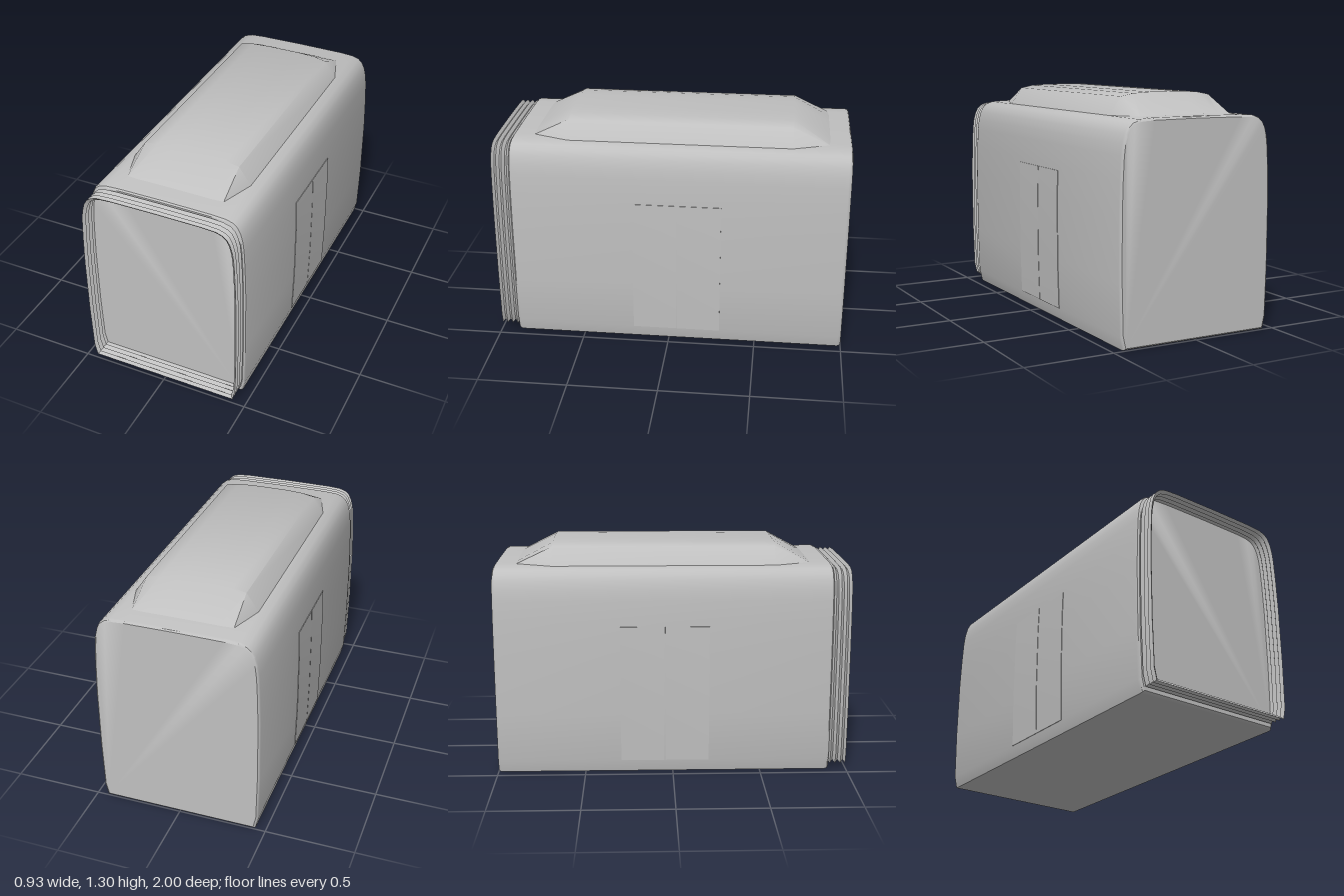
import * as THREE from 'three';
import { toCreasedNormals } from 'three/addons/utils/BufferGeometryUtils.js';

// Right half of the body cross-section, from the floor up to the roof
const HALF_W = 0.463, TOP = 1.185;
const HALF = [[0.44, 0], [0.456, 0.07], [0.463, 0.35], [0.463, 0.7], [0.458, 0.88], [0.452, 1.0],
  [0.445, 1.06], [0.432, 1.11], [0.415, 1.143], [0.39, 1.165], [0.35, 1.178], [0.27, 1.183]];
const mirrorX = (pts) => pts.map(([x, y]) => [-x, y]).reverse();
const SECTION = [...HALF, [0, TOP], ...mirrorX(HALF)];

// Body cross-section fitted to a half width and a height range
const ring = (z, halfW, y0, y1) =>
  SECTION.map(([x, y]) => [x * halfW / HALF_W, y0 + y * (y1 - y0) / TOP, z]);
const atZ = (pts, z) => pts.map(([x, y]) => [x, y, z]);

// Skin a list of rings running from back to front
function loft(rings, capped, crease) {
  const pos = [];
  const tri = (a, b, c) => pos.push(...a, ...b, ...c);
  const n = rings[0].length;
  for (let i = 0; i < rings.length - 1; i++) {
    for (let j = 0; j < n; j++) {
      const k = (j + 1) % n, r = rings[i], s = rings[i + 1];
      tri(r[j], r[k], s[k]);
      tri(r[j], s[k], s[j]);
    }
  }
  if (capped) {
    const r = rings[0], s = rings[rings.length - 1];
    for (let j = 1; j < n - 1; j++) {
      tri(r[0], r[j + 1], r[j]);
      tri(s[0], s[j], s[j + 1]);
    }
  }
  const geo = new THREE.BufferGeometry();
  geo.setAttribute('position', new THREE.Float32BufferAttribute(pos, 3));
  return toCreasedNormals(geo, crease);
}

export function createModel() {
  const model = new THREE.Group();
  model.name = 'carriageSection';
  const grey = new THREE.MeshStandardMaterial({ color: 0xc0c0c0, side: THREE.DoubleSide });
  grey.name = 'lightGrey';
  const add = (name, geo) => {
    const mesh = new THREE.Mesh(geo, grey);
    mesh.name = name;
    model.add(mesh);
  };

  // Main shell with slightly rounded ends
  add('body', loft([
    ring(-1, 0.452, 0.012, 1.173),
    ring(-0.994, 0.459, 0.004, 1.181),
    ring(-0.982, HALF_W, 0, TOP),
    ring(0.88, HALF_W, 0, TOP),
    ring(0.893, 0.459, 0.004, 1.181),
    ring(0.9, 0.45, 0.012, 1.172),
  ], true, 0.6));

  // Open pleated gangway at the front
  const pleats = [];
  for (let i = 0; i <= 7; i++) {
    const z = i === 7 ? 1 : 0.896 + i * 0.015;
    pleats.push(i % 2 ? ring(z, 0.452, 0.028, 1.172) : ring(z, 0.437, 0.045, 1.157));
  }
  add('bellows', loft(pleats, false, 0.6));

  // Roof pod: constant section, with ramps down to the roof at both ends
  const podHalf = [[0.345, 1.178], [0.277, 1.277], [0.2, 1.292], [0.1, 1.297]];
  const pod = [...podHalf, ...mirrorX(podHalf)];
  const rampHalf = [[0.28, 1.18], [0.28, 1.18], [0.2, 1.184], [0.1, 1.185]];
  const ramp = [...rampHalf, ...mirrorX(rampHalf)];
  add('roofPod', loft([atZ(ramp, -0.88), atZ(pod, -0.675), atZ(pod, 0.58), atZ(ramp, 0.78)], false, 0.85));

  // Two door leaves on each side, following the wall
  const leaf = [[0.45, 0.07], [0.459, 0.07], [0.466, 0.35], [0.466, 0.7], [0.462, 0.855], [0.45, 0.855]];
  for (const [side, section] of [['left', leaf], ['right', mirrorX(leaf)]]) {
    for (const [end, z0, z1] of [['Rear', -0.295, -0.047], ['Front', -0.043, 0.205]]) {
      add(side + end + 'DoorLeaf', loft([atZ(section, z0), atZ(section, z1)], true, 0.5));
    }
  }
  return model;
}
